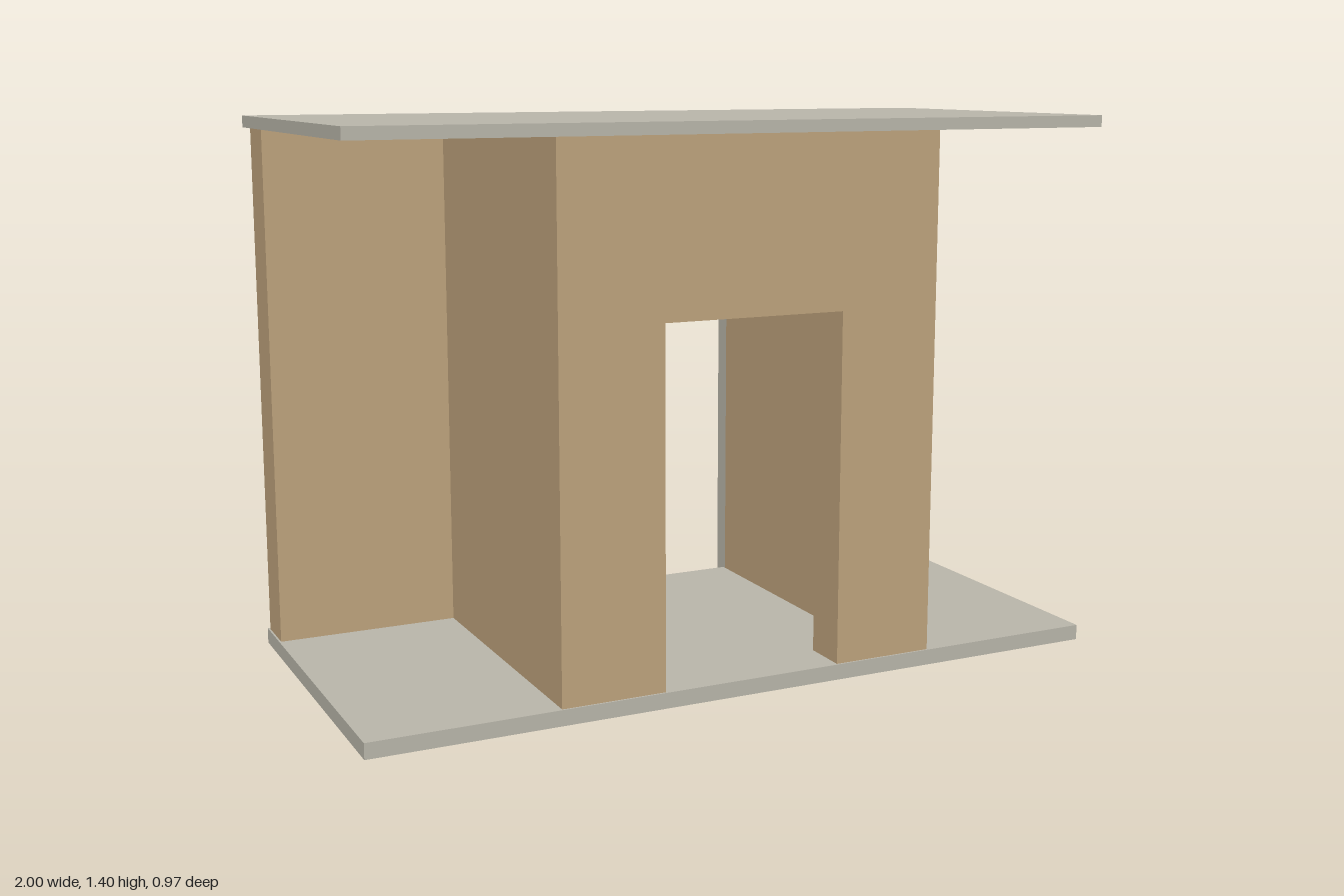
import * as THREE from 'three';

export function createModel() {
  const model = new THREE.Group();
  model.name = 'shelter';
  const tan = new THREE.MeshStandardMaterial({ color: 0xbda27c });
  tan.name = 'tan wall';
  const grey = new THREE.MeshStandardMaterial({ color: 0xb8b5a9 });
  grey.name = 'grey trim';

  function add(name, geometry, material) {
    const mesh = new THREE.Mesh(geometry, material);
    mesh.name = name;
    model.add(mesh);
  }

  // Box given by its limits on each axis
  function block(name, material, [x0, x1], [y0, y1], [z0, z1]) {
    const g = new THREE.BoxGeometry(x1 - x0, y1 - y0, z1 - z0);
    g.translate((x0 + x1) / 2, (y0 + y1) / 2, (z0 + z1) / 2);
    add(name, g, material);
  }

  // Wall with a doorway open at the bottom
  function doorWall(name, halfWidth, doorHalf, doorTop, z0, z1) {
    const base = 0.02, top = 1.375;
    const shape = new THREE.Shape([
      [-halfWidth, base], [-doorHalf, base], [-doorHalf, doorTop], [doorHalf, doorTop],
      [doorHalf, base], [halfWidth, base], [halfWidth, top], [-halfWidth, top],
    ].map(([x, y]) => new THREE.Vector2(x, y)));
    const g = new THREE.ExtrudeGeometry(shape, { depth: z1 - z0, bevelEnabled: false });
    g.translate(0, 0, z0);
    add(name, g, tan);
  }

  // Slabs
  block('floor', grey, [-0.99, 0.99], [0, 0.04], [-0.44, 0.48]);
  block('roof', grey, [-1, 1], [1.375, 1.405], [-0.45, 0.485]);

  // Walls: wide back wall and a narrower room in front of it
  doorWall('backWall', 0.985, 0.39, 1.04, -0.43, -0.31);
  doorWall('frontWall', 0.51, 0.24, 0.94, 0.355, 0.475);

  // Mirrored side walls, corner posts and door frame posts
  for (const [side, s] of [['left', 1], ['right', -1]]) {
    const span = (a, b) => (s > 0 ? [a, b] : [-b, -a]);
    block(side + 'SideWall', tan, span(0.39, 0.51), [0.02, 1.375], [-0.31, 0.355]);
    block(side + 'CornerPost', grey, span(0.875, 0.95), [0, 1.3], [-0.463, -0.43]);
    block(side + 'FramePost', grey, span(0.39, 0.45), [0, 1.04], [-0.48, -0.43]);
  }
  block('frameLintel', grey, [-0.45, 0.45], [1.04, 1.095], [-0.485, -0.43]);

  return model;
}
